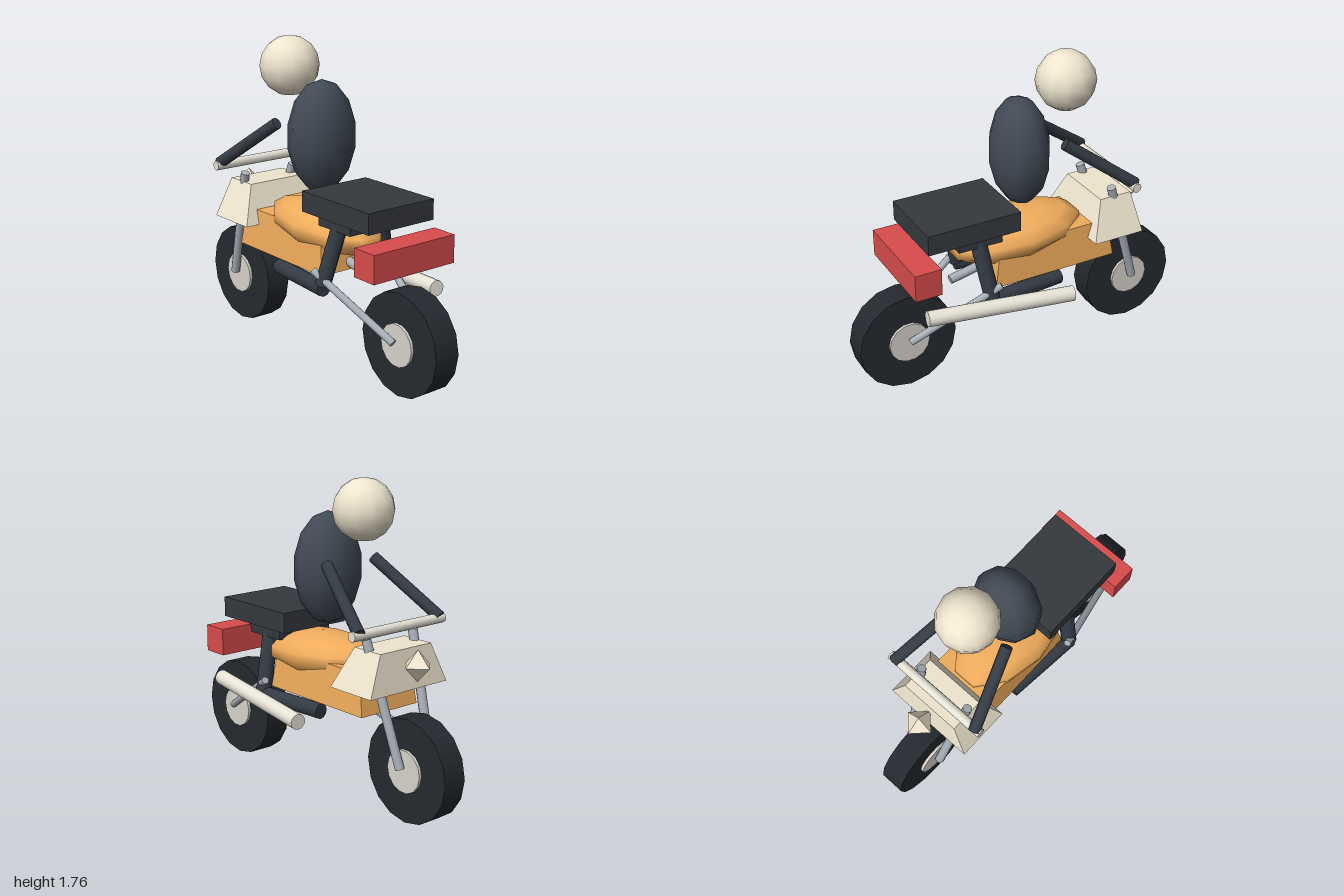
import * as THREE from 'three';

const CX = -0.033; // centre plane of the bike

const mat = (color) => new THREE.MeshStandardMaterial({ color });
const M = {
  tyre: mat(0x25292f), hub: mat(0xd8d4cc), metal: mat(0xa8b0b8), pale: mat(0xe8e4d8),
  cream: mat(0xf0e6d0), orange: mat(0xf0ac5c), seat: mat(0x35393f), suit: mat(0x424a55),
  limb: mat(0x343b44), red: mat(0xd94c4c),
};

export function createModel() {
  const root = new THREE.Group();

  function add(name, geo, material, x, y, z) {
    const mesh = new THREE.Mesh(geo, material);
    mesh.name = name;
    mesh.position.set(x, y, z);
    root.add(mesh);
    return mesh;
  }

  // Round bar between two points
  function rod(name, a, b, r, material, sides = 10) {
    const p = new THREE.Vector3(...a), q = new THREE.Vector3(...b);
    const dir = q.clone().sub(p);
    const mid = p.clone().add(q).multiplyScalar(0.5);
    const mesh = add(name, new THREE.CylinderGeometry(r, r, dir.length(), sides), material, mid.x, mid.y, mid.z);
    mesh.quaternion.setFromUnitVectors(new THREE.Vector3(0, 1, 0), dir.normalize());
    return mesh;
  }

  // Mirrored pair of bars; x is the distance from the centre plane
  function rodPair(name, a, b, r, material) {
    for (const [side, s] of [['left', 1], ['right', -1]]) {
      rod(`${side}${name}`, [CX + s * a[0], a[1], a[2]], [CX + s * b[0], b[1], b[2]], r, material);
    }
  }

  // Box with different lower and upper rectangles
  function taperedBox(name, low, high, material) {
    const geo = new THREE.BoxGeometry(1, 1, 1);
    const p = geo.attributes.position;
    for (let i = 0; i < p.count; i++) {
      const e = p.getY(i) < 0 ? low : high;
      p.setXYZ(i, p.getX(i) * 2 * e.half, e.y, p.getZ(i) < 0 ? e.front : e.back);
    }
    geo.computeVertexNormals();
    return add(name, geo, material, CX, 0, 0);
  }

  // Low-poly ellipsoid
  function ellipsoid(name, r, center, material, w, h) {
    const geo = new THREE.SphereGeometry(1, w, h);
    geo.scale(...r);
    return add(name, geo, material, ...center);
  }

  // Wheels with hubs
  for (const [name, z, width] of [['front', -0.715, 0.142], ['rear', 0.715, 0.153]]) {
    const tyre = new THREE.CylinderGeometry(0.285, 0.285, width, 16).rotateZ(Math.PI / 2);
    const hub = new THREE.CylinderGeometry(0.118, 0.118, width + 0.033, 14).rotateZ(Math.PI / 2);
    add(`${name}Tyre`, tyre, M.tyre, CX, 0.287, z);
    add(`${name}Hub`, hub, M.hub, CX, 0.289, z);
  }

  // Body, tank and fairing
  taperedBox('lowerBody',
    { y: 0.554, half: 0.2, front: -0.517, back: 0.235 },
    { y: 0.78, half: 0.18, front: -0.48, back: 0.2 }, M.orange);
  const tank = ellipsoid('tank', [0.23, 0.128, 0.415], [CX, 0.763, 0.019], M.orange, 10, 7);
  tank.rotation.x = -0.06 * -1;
  taperedBox('fairing',
    { y: 0.699, half: 0.273, front: -0.663, back: -0.353 },
    { y: 0.916, half: 0.18, front: -0.632, back: -0.436 }, M.cream);
  add('headlight', new THREE.OctahedronGeometry(0.086), M.cream, CX, 0.842, -0.718);

  // Seat and tail box
  add('seat', new THREE.BoxGeometry(0.443, 0.114, 0.546), M.seat, CX, 0.945, 0.367);
  add('seatBase', new THREE.BoxGeometry(0.363, 0.065, 0.262), M.seat, CX, 0.858, 0.316);
  add('tailBox', new THREE.BoxGeometry(0.549, 0.155, 0.153), M.red, CX, 0.746, 0.67);

  // Fork, swing arms, frame tubes, handlebar and exhaust
  rodPair('Fork', [0.167, 0.967, -0.511], [0.112, 0.308, -0.715], 0.026, M.metal);
  rodPair('SwingArm', [0.25, 0.597, 0.228], [0.115, 0.308, 0.718], 0.021, M.metal);
  rod('frontFrameTube', [CX, 0.6, -0.2], [CX, 0.48, -0.6], 0.024, M.metal);
  rod('rearFrameTube', [CX, 0.6, 0.2], [CX, 0.555, 0.42], 0.026, M.metal);
  rod('handlebar', [-0.356, 1.02, -0.575], [0.293, 1.02, -0.575], 0.027, M.pale);
  rod('exhaust', [0.2, 0.513, 0.667], [0.307, 0.474, -0.169], 0.044, M.pale, 14);

  // Rider
  ellipsoid('head', [0.168, 0.168, 0.168], [CX, 1.597, -0.302], M.cream, 12, 8);
  ellipsoid('torso', [0.204, 0.313, 0.163], [CX, 1.247, -0.017], M.suit, 10, 7);
  rodPair('Arm', [0.167, 1.31, -0.2], [0.288, 1.03, -0.588], 0.033, M.limb);
  rodPair('UpperLeg', [0.14, 0.85, 0.315], [0.225, 0.52, 0.275], 0.044, M.limb);
  rodPair('LowerLeg', [0.225, 0.505, 0.285], [0.18, 0.5, -0.17], 0.044, M.limb);

  return root;
}
